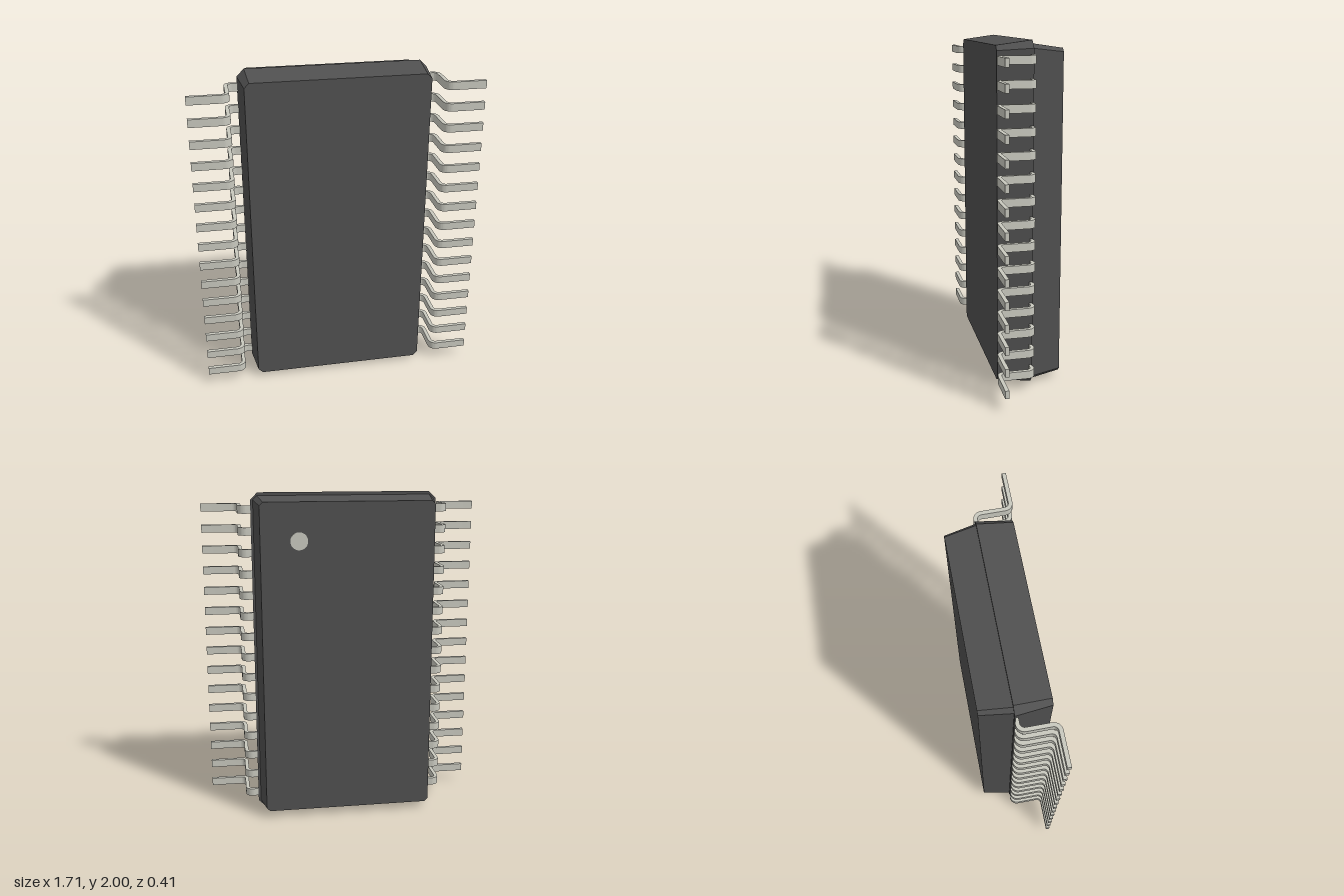
import * as THREE from 'three';
import { ConvexGeometry } from 'three/addons/geometries/ConvexGeometry.js';
import { toCreasedNormals } from 'three/addons/utils/BufferGeometryUtils.js';

const LEADS = 15;        // per side
const PITCH = 0.1286;
const LEAD_WIDTH = 0.047;
const SEAM = -0.025;     // z of the joint between the body halves

const bodyMat = new THREE.MeshStandardMaterial({ color: 0x505050 });
const metalMat = new THREE.MeshStandardMaterial({ color: 0xc8c8be });

function addMesh(parent, name, geometry, material) {
  const mesh = new THREE.Mesh(geometry, material);
  mesh.name = name;
  parent.add(mesh);
  return mesh;
}

// Rectangle with cut corners at depth z, centred on y = 1
function ring(w, h, cut, z) {
  const pts = [];
  for (const sx of [-1, 1]) for (const sy of [-1, 1]) {
    pts.push(new THREE.Vector3(sx * w, 1 + sy * (h - cut), z));
    pts.push(new THREE.Vector3(sx * (w - cut), 1 + sy * h, z));
  }
  return pts;
}

// Gull-wing lead: S-bent strip profile in x/z, extruded along y
function leadGeometry() {
  const s = new THREE.Shape();
  const q = Math.PI / 2, ri = 0.025, ro = 0.048;
  const x0 = 0.5, x1 = 0.615, x2 = 0.638, x3 = 0.855;
  const zTop = -0.028, zFoot = 0.202;
  s.moveTo(x0, zTop);
  s.absarc(x2 - ro, zTop + ro, ro, -q, 0, false);
  s.absarc(x2 + ri, zFoot - ro, ri, Math.PI, q, true);
  s.lineTo(x3, zFoot - ro + ri);
  s.lineTo(x3, zFoot);
  s.absarc(x1 + ro, zFoot - ro, ro, q, Math.PI, false);
  s.absarc(x1 - ri, zTop + ro, ri, 0, -q, true);
  s.lineTo(x0, zTop + ro - ri);
  s.closePath();
  const g = new THREE.ExtrudeGeometry(s, { depth: LEAD_WIDTH, bevelEnabled: false, curveSegments: 8 });
  g.translate(0, 0, -LEAD_WIDTH / 2);
  g.rotateX(Math.PI / 2);
  return toCreasedNormals(g, 0.6);
}

export function createModel() {
  const model = new THREE.Group();
  model.name = 'chipPackage';

  // Tapered body halves, the front one slightly larger at the seam
  addMesh(model, 'bodyFrontHalf', new ConvexGeometry(
    [...ring(0.56, 1, 0.043, SEAM), ...ring(0.535, 0.973, 0.028, 0.177)]), bodyMat);
  addMesh(model, 'bodyBackHalf', new ConvexGeometry(
    [...ring(0.545, 0.981, 0.025, SEAM), ...ring(0.516, 0.955, 0.02, -0.203)]), bodyMat);

  // Round orientation mark on the back face
  const mark = addMesh(model, 'orientationMark', new THREE.CylinderGeometry(0.052, 0.052, 0.01, 32), metalMat);
  mark.rotation.x = Math.PI / 2;
  mark.position.set(0.29, 1.73, -0.2);

  // Two rows of leads, the second turned half round about z
  const lead = leadGeometry();
  for (const [name, turn] of [['leftLeads', 0], ['rightLeads', Math.PI]]) {
    const row = new THREE.Group();
    row.name = name;
    row.position.y = 1;
    row.rotation.z = turn;
    for (let i = 0; i < LEADS; i++) {
      addMesh(row, 'lead', lead, metalMat).position.y = (i - (LEADS - 1) / 2) * PITCH;
    }
    model.add(row);
  }
  return model;
}
